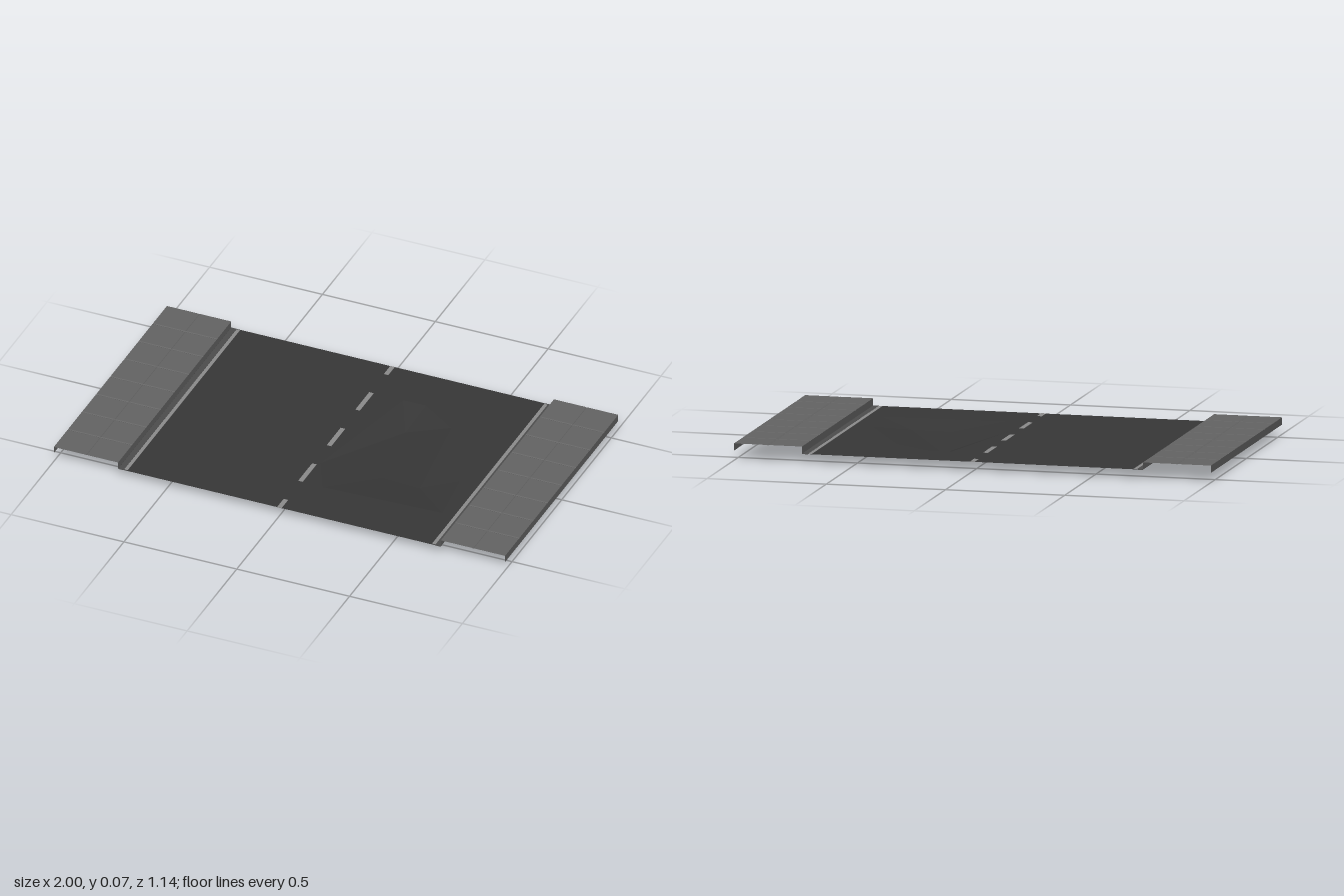
import * as THREE from 'three';

const ROAD_Y = 0.04, WALK_Y = 0.07, HALF_Z = 0.57, CURB_X = 0.715;

function flatMaterial(name, color) {
  const m = new THREE.MeshStandardMaterial({ color, side: THREE.DoubleSide });
  m.name = name;
  return m;
}

function addMesh(parent, name, geometry, material) {
  const mesh = new THREE.Mesh(geometry, material);
  mesh.name = name;
  parent.add(mesh);
  return mesh;
}

// Thin painted plate centred on the road surface
function addPlate(parent, name, x, z, w, d, material) {
  addMesh(parent, name, new THREE.BoxGeometry(w, 0.002, d), material).position.set(x, ROAD_Y, z);
}

// Surface made of rows of points, one row per cross-section
function loft(rows) {
  const pos = [], index = [], n = rows[0].length;
  rows.forEach(row => row.forEach(p => pos.push(...p)));
  for (let r = 0; r < rows.length - 1; r++) {
    for (let c = 0; c < n - 1; c++) {
      const a = r * n + c, b = a + n;
      index.push(a, b, a + 1, a + 1, b, b + 1);
    }
  }
  const g = new THREE.BufferGeometry();
  g.setAttribute('position', new THREE.Float32BufferAttribute(pos, 3));
  g.setIndex(index);
  const flat = g.toNonIndexed();
  flat.computeVertexNormals();
  return flat;
}

// Pavement: top with shallow slab joints, curb face and outer face
function pavement(side) {
  const joint = 0.004, dip = 0.002;
  const grooved = (start, end, joints) => [
    [start, 0],
    ...joints.flatMap(j => [[j - joint, 0], [j, dip], [j + joint, 0]]),
    [end, 0],
  ];
  const across = grooved(CURB_X, 1, [0.8575]);
  const slab = HALF_Z * 2 / 8;
  const along = grooved(-HALF_Z, HALF_Z, [1, 2, 3, 4, 5, 6, 7].map(i => -HALF_Z + i * slab));
  const rows = along.map(([z, dz]) => {
    const row = across.map(([x, dx]) => [side * x, WALK_Y - Math.max(dx, dz), z]);
    row.unshift([side * CURB_X, ROAD_Y, z]);
    row.push([side, ROAD_Y, z]);
    return side > 0 ? row : row.reverse();
  });
  return loft(rows);
}

// Sunken hollow: rim at road level and three points on its floor
const rim = [[0.14, -0.36], [0.24, -0.36], [0.40, -0.25], [0.59, 0.1], [0.62, 0.34], [0.10, 0.36], [0.02, 0.2]];
const floor = [[0.22, 0, -0.2], [0.28, 0.02, 0.17], [0.45, 0.019, 0.18]];

function hollow() {
  const points = [...rim.map(([x, z]) => [x, ROAD_Y, z]), ...floor];
  const A = 7, B = 8, C = 9;
  const faces = [A, A, C, C, C, B, A].map((inner, i) => [(i + 1) % 7, i, inner]);
  faces.push([2, A, C], [5, C, B], [6, B, A], [A, B, C]);
  const g = new THREE.BufferGeometry();
  g.setAttribute('position', new THREE.Float32BufferAttribute(faces.flat().flatMap(i => points[i]), 3));
  g.computeVertexNormals();
  return g;
}

// Road sheet with an opening over the hollow
function roadSheet() {
  const s = new THREE.Shape([
    [-CURB_X, -HALF_Z], [CURB_X, -HALF_Z], [CURB_X, HALF_Z], [-CURB_X, HALF_Z],
  ].map(p => new THREE.Vector2(...p)));
  s.holes.push(new THREE.Path(rim.map(([x, z]) => new THREE.Vector2(x, -z))));
  return new THREE.ShapeGeometry(s).rotateX(-Math.PI / 2).translate(0, ROAD_Y, 0);
}

export function createModel() {
  const model = new THREE.Group();
  model.name = 'roadSection';
  const asphalt = flatMaterial('asphalt', 0x363636);
  const concrete = flatMaterial('concrete', 0x626262);
  const gutter = flatMaterial('gutterGrey', 0x4c4c4c);
  const paint = flatMaterial('linePaint', 0x8a8a8a);

  addMesh(model, 'road', roadSheet(), asphalt);
  addMesh(model, 'pothole', hollow(), asphalt);

  // Both sides: pavement, gutter strip and edge line
  for (const side of [-1, 1]) {
    const label = side > 0 ? 'left' : 'right';
    addMesh(model, label + 'Pavement', pavement(side), concrete);
    addPlate(model, label + 'Gutter', side * 0.702, 0, 0.024, HALF_Z * 2, gutter);
    addPlate(model, label + 'EdgeLine', side * 0.682, 0, 0.015, HALF_Z * 2 - 0.01, paint);
  }

  // Dashed centre line, cut at both ends of the section
  for (let i = -2; i <= 2; i++) {
    const z0 = Math.max(i * 0.2875 - 0.07, -HALF_Z), z1 = Math.min(i * 0.2875 + 0.07, HALF_Z);
    addPlate(model, 'centreDash', 0, (z0 + z1) / 2, 0.02, z1 - z0, paint);
  }
  return model;
}
